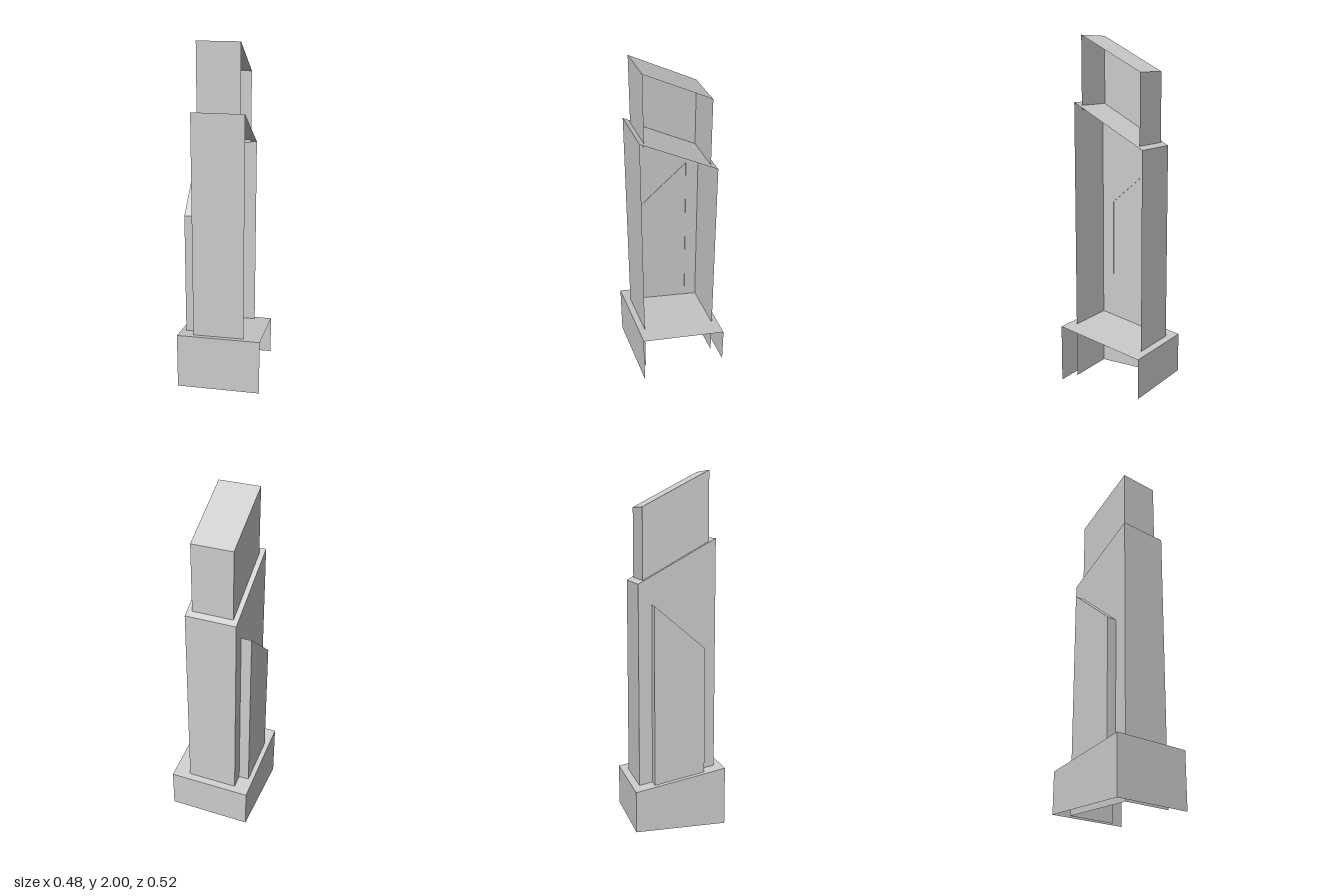
import * as THREE from 'three';

const material = new THREE.MeshStandardMaterial({
  color: 0xcccccc, flatShading: true, side: THREE.DoubleSide,
});

// Thin-walled block with a sloping roof, open underneath and on its +x side.
// Each of bottom and top is [height at the front, height at the back].
function openBlock(name, x0, x1, z, bottom, top) {
  const corner = (x, front, heights) =>
    [x, heights[front ? 0 : 1], front ? z : -z];
  const wall = (a, b) => [
    corner(...a, bottom), corner(...b, bottom), corner(...b, top), corner(...a, top),
  ];
  const quads = [
    wall([x0, true], [x1, true]),    // front wall
    wall([x1, false], [x0, false]),  // back wall
    wall([x0, false], [x0, true]),   // side wall
    [corner(x0, true, top), corner(x1, true, top),
      corner(x1, false, top), corner(x0, false, top)], // roof
  ];
  const positions = quads.flatMap(([a, b, c, d]) => [a, b, c, a, c, d].flat());
  const geometry = new THREE.BufferGeometry();
  geometry.setAttribute('position', new THREE.Float32BufferAttribute(positions, 3));
  geometry.computeVertexNormals();
  const mesh = new THREE.Mesh(geometry, material);
  mesh.name = name;
  return mesh;
}

export function createModel() {
  const tower = new THREE.Group();
  tower.name = 'tower';
  tower.add(
    openBlock('base', -0.242, 0.242, 0.26, [0, 0], [0.33, 0.233]),
    openBlock('shaft', -0.153, 0.142, 0.221, [0, 0], [1.63, 1.385]),
    openBlock('crown', -0.125, 0.113, 0.189, [1.585, 1.385], [2, 1.8]),
    openBlock('sideFin', -0.213, -0.15, 0.145, [0.22, 0.22], [1.025, 1.27]),
  );
  return tower;
}
